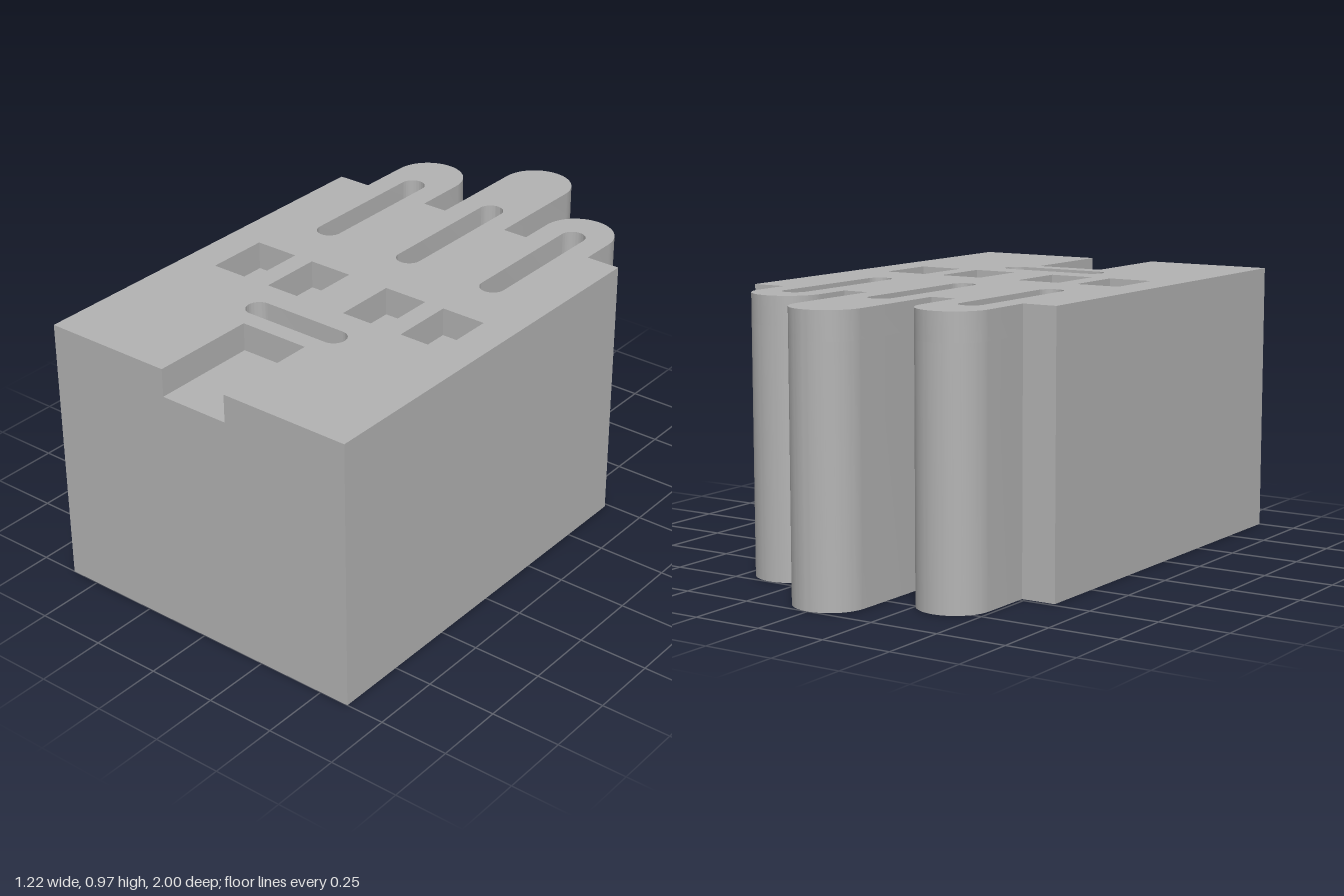
import * as THREE from 'three';
import { toCreasedNormals } from 'three/addons/utils/BufferGeometryUtils.js';

const HEIGHT = 0.97, FLOOR = 0.87;   // block top and recess floor
const FRONT = -1, BACK = 0.485;      // plan coordinates: shape y = -z
const HALF = 0.61, R = 0.13;         // half width, finger radius

// Fingers from the model's left to its right: [x, tip]
const FINGERS = [[0.355, 0.745], [0, 1], [-0.355, 0.81]];

// Plan outline, with or without the front notch
function outline(notched) {
  const s = new THREE.Shape();
  s.moveTo(-HALF, FRONT);
  if (notched) {
    s.lineTo(-R, FRONT);
    s.lineTo(-R, -0.61);
    s.lineTo(R, -0.61);
    s.lineTo(R, FRONT);
  }
  s.lineTo(HALF, FRONT);
  s.lineTo(HALF, BACK);
  for (const [x, tip] of FINGERS) {
    s.lineTo(x + R, BACK);
    s.absarc(x, tip - R, R, 0, Math.PI, false);
    s.lineTo(x - R, BACK);
  }
  s.lineTo(-HALF, BACK);
  s.closePath();
  return s;
}

// Square-cornered pocket centred on x, y
function pocket(x, y, w, h) {
  const p = new THREE.Path();
  p.moveTo(x - w / 2, y - h / 2);
  p.lineTo(x + w / 2, y - h / 2);
  p.lineTo(x + w / 2, y + h / 2);
  p.lineTo(x - w / 2, y + h / 2);
  p.closePath();
  return p;
}

// Round-ended slot; the short side sets the end radius
function slot(x, y, w, h) {
  const p = new THREE.Path();
  const r = Math.min(w, h) / 2;
  if (h > w) {
    const d = h / 2 - r;
    p.absarc(x, y + d, r, 0, Math.PI, false);
    p.absarc(x, y - d, r, Math.PI, 2 * Math.PI, false);
  } else {
    const d = w / 2 - r;
    p.absarc(x + d, y, r, -Math.PI / 2, Math.PI / 2, false);
    p.absarc(x - d, y, r, Math.PI / 2, Math.PI * 1.5, false);
  }
  p.closePath();
  return p;
}

// Upright slab between two heights
function slab(name, shape, y0, y1, material) {
  const g = new THREE.ExtrudeGeometry(shape, {
    depth: y1 - y0, bevelEnabled: false, curveSegments: 24,
  });
  g.rotateX(-Math.PI / 2);
  g.translate(0, y0, 0);
  const mesh = new THREE.Mesh(toCreasedNormals(g, Math.PI / 6), material);
  mesh.name = name;
  return mesh;
}

export function createModel() {
  const group = new THREE.Group();
  group.name = 'fingeredBlock';
  const grey = new THREE.MeshStandardMaterial({ color: 0xb3b3b3 });
  grey.name = 'plain grey';

  // Solid lower body, whose top forms the recess floors
  group.add(slab('lowerBody', outline(false), 0, FLOOR, grey));

  // Recessed top layer: finger slots, four pockets, cross slot and notch
  const top = outline(true);
  for (const [x] of FINGERS) top.holes.push(slot(x, 0.345, 0.09, 0.57));
  for (const x of [-0.4025, -0.1625, 0.1625, 0.4025]) {
    top.holes.push(pocket(x, -0.24, 0.165, 0.23));
  }
  top.holes.push(slot(0, -0.5, 0.41, 0.09));
  group.add(slab('recessedTop', top, FLOOR, HEIGHT, grey));

  return group;
}
